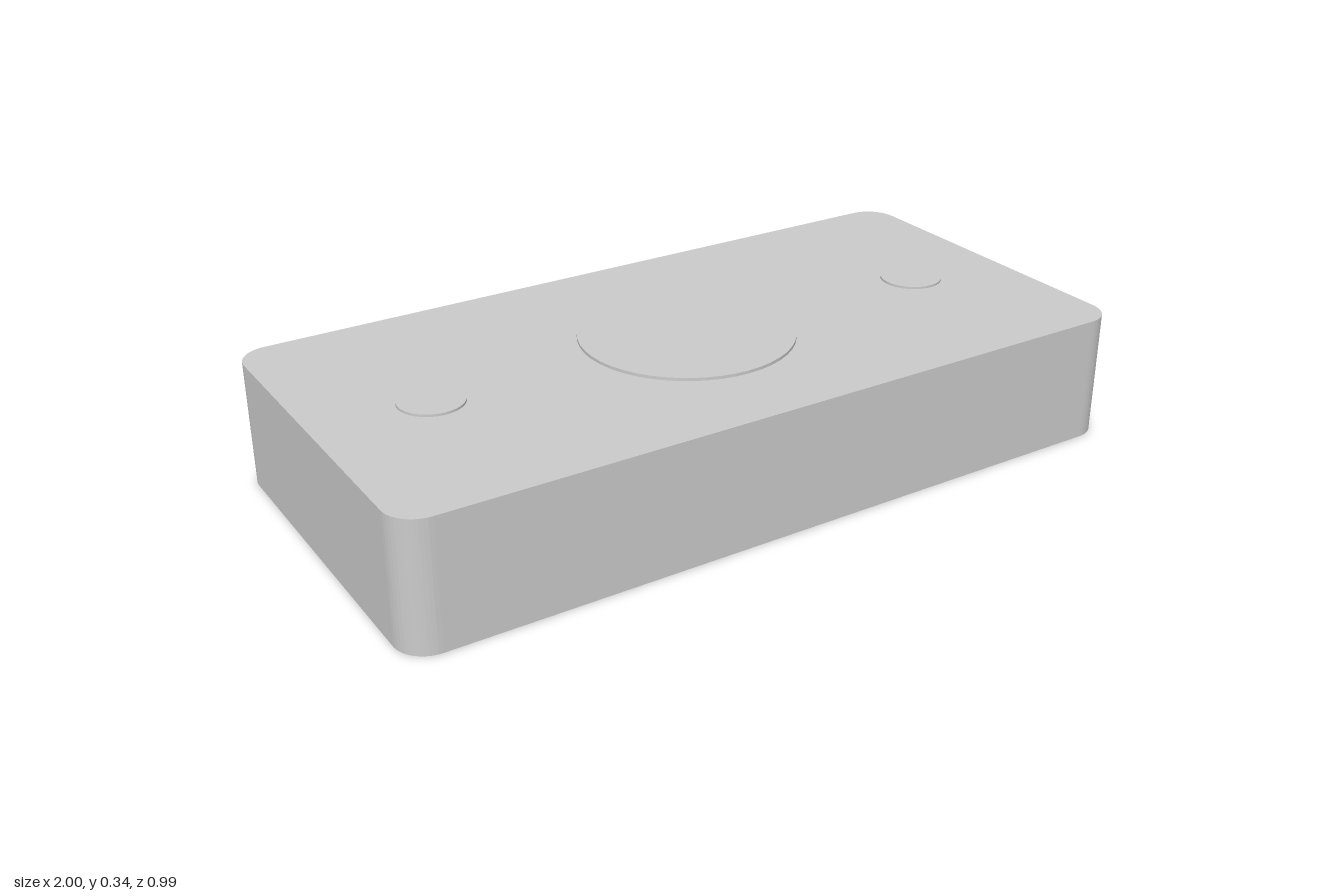
import * as THREE from 'three';

const material = new THREE.MeshStandardMaterial({ color: 0xcccccc, flatShading: true });

function roundedRect(w, d, r) {
  const x = w / 2, y = d / 2, q = Math.PI / 2;
  const s = new THREE.Shape();
  s.absarc(x - r, y - r, r, 0, q);
  s.absarc(-x + r, y - r, r, q, 2 * q);
  s.absarc(-x + r, -y + r, r, 2 * q, 3 * q);
  s.absarc(x - r, -y + r, r, 3 * q, 4 * q);
  s.closePath();
  return s;
}

export function createModel() {
  const group = new THREE.Group();
  const bodyHeight = 0.33;

  // Solid slab with rounded vertical corners
  const slab = new THREE.ExtrudeGeometry(roundedRect(2, 0.99, 0.08), {
    depth: bodyHeight, bevelEnabled: false, curveSegments: 6,
  });
  slab.rotateX(-Math.PI / 2);
  const body = new THREE.Mesh(slab, material);
  body.name = 'body';
  group.add(body);

  // Thin raised discs, sunk slightly into the top face
  const addDisc = (name, x, z, radius, rise) => {
    const sink = 0.01;
    const disc = new THREE.Mesh(new THREE.CylinderGeometry(radius, radius, rise + sink, 48), material);
    disc.name = name;
    disc.position.set(x, bodyHeight + (rise - sink) / 2, z);
    group.add(disc);
  };
  addDisc('centreDisc', 0, 0.003, 0.276, 0.008);
  addDisc('leftDisc', 0.722, 0.009, 0.082, 0.006);
  addDisc('rightDisc', -0.702, 0.009, 0.082, 0.006);

  return group;
}
